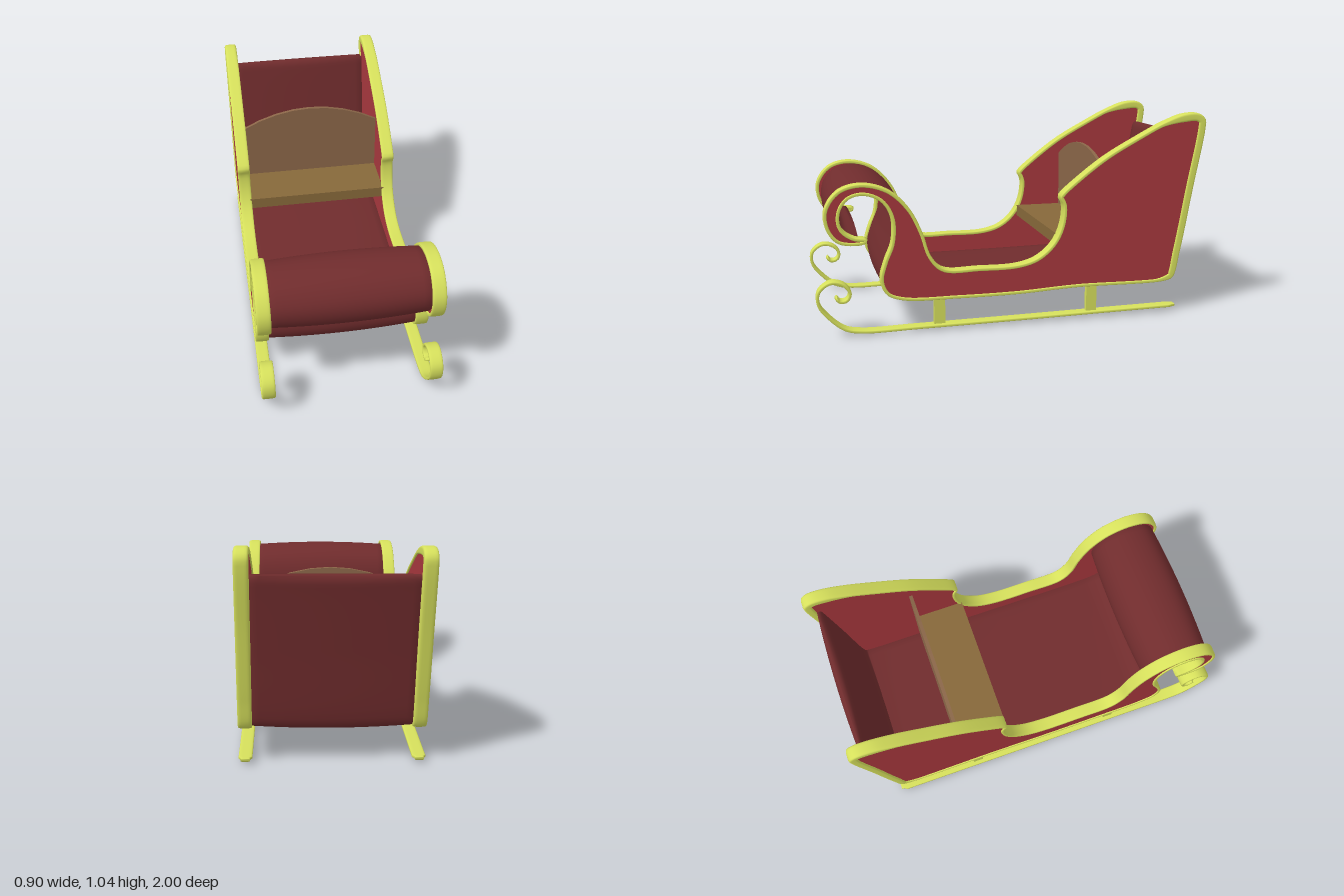
import * as THREE from 'three';

const mat = (color) => new THREE.MeshStandardMaterial({ color });
const GOLD = mat(0xd6e05c), RED = mat(0xa8383e), DARK_RED = mat(0x702c2d);
const WOOD = mat(0x86683a), BACK_WOOD = mat(0x8a6648);
const SIDE_X = 0.402;

// Smooth path through [z, y] points, sampled as { z, y, nz, ny } with its normal
function samplePath(points, count, closed) {
  const curve = new THREE.CatmullRomCurve3(
    points.map(([z, y]) => new THREE.Vector3(0, y, z)), closed, 'centripetal');
  curve.arcLengthDivisions = 1000;
  const out = [];
  for (let i = 0; i < (closed ? count : count + 1); i++) {
    const p = curve.getPointAt(i / count), t = curve.getTangentAt(i / count);
    out.push({ z: p.z, y: p.y, nz: -t.y, ny: t.z });
  }
  return out;
}

// Sweeps a section of [x, n] corners along a sampled path
function sweep(path, section, closed) {
  const pos = [], idx = [];
  let m = 0;
  path.forEach((p, i) => {
    const ring = section(p, i);
    m = ring.length;
    for (const [x, n] of ring) pos.push(x, p.y + p.ny * n, p.z + p.nz * n);
  });
  const rows = path.length;
  for (let i = 0; i < (closed ? rows : rows - 1); i++) {
    const k = (i + 1) % rows;
    for (let j = 0; j < m; j++) {
      const j2 = (j + 1) % m;
      const a = i * m + j, b = i * m + j2, c = k * m + j2, d = k * m + j;
      idx.push(a, b, c, a, c, d);
    }
  }
  if (!closed) {
    const e = (rows - 1) * m;
    for (let j = 1; j < m - 1; j++) idx.push(0, j + 1, j, e, e + j, e + j + 1);
  }
  const g = new THREE.BufferGeometry();
  g.setAttribute('position', new THREE.Float32BufferAttribute(pos, 3));
  g.setIndex(idx);
  g.computeVertexNormals();
  return g;
}

// Rounded rectangular section, half width w, from n0 to n1
function roundedSection(w, n0, n1, count = 20) {
  const pw = (v) => Math.sign(v) * Math.pow(Math.abs(v), 0.45);
  return Array.from({ length: count }, (_, i) => {
    const a = ((i + 0.5) / count) * Math.PI * 2;
    return [w * pw(Math.cos(a)), (n0 + n1) / 2 + ((n1 - n0) / 2) * pw(Math.sin(a))];
  });
}

export function createModel() {
  const model = new THREE.Group();
  model.name = 'sleigh';
  const add = (name, geometry, material, parent = model) => {
    const mesh = new THREE.Mesh(geometry, material);
    mesh.name = name;
    parent.add(mesh);
    return mesh;
  };

  // Outline of a side: up the back, down the armrest, round the front curl, along the bottom
  const outline = samplePath([
    [-0.835, 0.18], [-0.87, 0.32], [-0.93, 0.65], [-0.985, 0.95], [-0.985, 1.0], [-0.95, 1.03],
    [-0.87, 1.03], [-0.77, 0.995], [-0.62, 0.92], [-0.45, 0.825], [-0.3, 0.715], [-0.225, 0.65],
    [-0.212, 0.63], [-0.23, 0.59], [-0.222, 0.49], [-0.18, 0.4], [-0.1, 0.33], [0, 0.3],
    [0.2, 0.297], [0.38, 0.305], [0.44, 0.37], [0.48, 0.49], [0.54, 0.61], [0.64, 0.705],
    [0.77, 0.74], [0.88, 0.71], [0.945, 0.62], [0.94, 0.53], [0.89, 0.46], [0.81, 0.442],
    [0.75, 0.452], [0.745, 0.472], [0.81, 0.485], [0.865, 0.53], [0.87, 0.605], [0.83, 0.665],
    [0.76, 0.682], [0.68, 0.65], [0.632, 0.57], [0.632, 0.45], [0.67, 0.35], [0.69, 0.26],
    [0.66, 0.19], [0.58, 0.157], [0.3, 0.147], [0, 0.147], [-0.3, 0.16], [-0.8, 0.163],
  ], 320, true);
  const trimGeo = sweep(outline, (p) => {
    const t = 0.018 + 0.026 * THREE.MathUtils.smoothstep(-p.z, 0.72, 0.88);
    return roundedSection(0.033, -t, 0);
  }, true);
  const panelShape = new THREE.Shape(
    outline.map((p) => new THREE.Vector2(p.z - p.nz * 0.008, p.y - p.ny * 0.008)));
  const panelGeo = new THREE.ExtrudeGeometry(panelShape, { depth: 0.052, bevelEnabled: false });
  panelGeo.translate(0, 0, -0.026);
  panelGeo.rotateY(-Math.PI / 2);

  // Runner strip ending in a scroll at the front
  const runnerPath = samplePath([
    [-0.85, 0.024], [-0.4, 0.02], [0, 0.016], [0.5, 0.013], [0.78, 0.013], [0.86, 0.03],
    [0.935, 0.09], [0.985, 0.16], [0.982, 0.225], [0.925, 0.266], [0.865, 0.252],
    [0.835, 0.21], [0.85, 0.175], [0.885, 0.17], [0.902, 0.19],
  ], 160, false);
  const runnerGeo = sweep(runnerPath, (p, i) =>
    roundedSection(i < 2 ? 0.022 : 0.032, -0.008, 0.008, 16), false);
  const postGeo = new THREE.BoxGeometry(0.024, 0.14, 0.055);

  for (const s of [1, -1]) {
    const side = new THREE.Group();
    side.name = s > 0 ? 'leftSide' : 'rightSide';
    side.position.x = s * SIDE_X;
    model.add(side);
    add('sidePanel', panelGeo, RED, side);
    add('sideTrim', trimGeo, GOLD, side);
    add('runner', runnerGeo, GOLD, side);
    for (const z of [0.4, -0.39]) add('runnerPost', postGeo, GOLD, side).position.set(0, 0.09, z);
  }

  // Body sheet: back wall, floor and curled front, slightly swollen across the middle
  const bodyPath = samplePath([
    [-0.93, 0.915], [-0.915, 0.83], [-0.87, 0.55], [-0.82, 0.23], [-0.805, 0.19], [-0.77, 0.182],
    [-0.4, 0.18], [0, 0.176], [0.5, 0.178], [0.58, 0.185], [0.64, 0.21], [0.664, 0.265],
    [0.645, 0.35], [0.605, 0.45], [0.578, 0.55], [0.615, 0.65], [0.69, 0.698], [0.77, 0.707],
    [0.85, 0.682], [0.903, 0.61], [0.898, 0.54], [0.855, 0.485], [0.79, 0.468],
  ], 180, false);
  const half = 0.385, steps = 16;
  const bodySection = (p, i) => {
    const endX = [0.95, 0.985][i] ?? 1, endN = [0.5, 0.9][i] ?? 1;
    const ring = [];
    for (const dir of [-1, 1]) {
      for (let k = 0; k <= steps; k++) {
        const u = dir * (-1 + (2 * k) / steps);
        ring.push([u * half * endX, dir * (0.012 + 0.014 * (1 - u * u)) * endN]);
      }
    }
    // Start on the lower face so the ring runs counter-clockwise
    return ring.map(([x, n]) => [-x, -n]).reverse().map(([x, n]) => [-x, n]);
  };
  add('body', sweep(bodyPath, bodySection, false), DARK_RED).material.side = THREE.DoubleSide;

  // Bench
  add('seat', new THREE.BoxGeometry(0.76, 0.06, 0.265), WOOD).position.set(0, 0.41, -0.335);
  const rest = new THREE.Shape();
  rest.moveTo(-0.38, 0.19);
  rest.lineTo(0.38, 0.19);
  for (let i = 0; i <= 8; i++) {
    const u = 1 - i / 4;
    rest.lineTo(0.38 * u, 0.845 - 0.105 * u * u);
  }
  const restGeo = new THREE.ExtrudeGeometry(rest, { depth: 0.018, bevelEnabled: false });
  add('backrest', restGeo, BACK_WOOD).position.z = -0.475;

  // The sleigh stands very slightly turned and tilted
  model.rotation.set(0, -0.017, 0.008);
  model.position.set(-0.002, 0.003, 0);
  const root = new THREE.Group();
  root.name = 'sleighRoot';
  root.add(model);
  return root;
}
